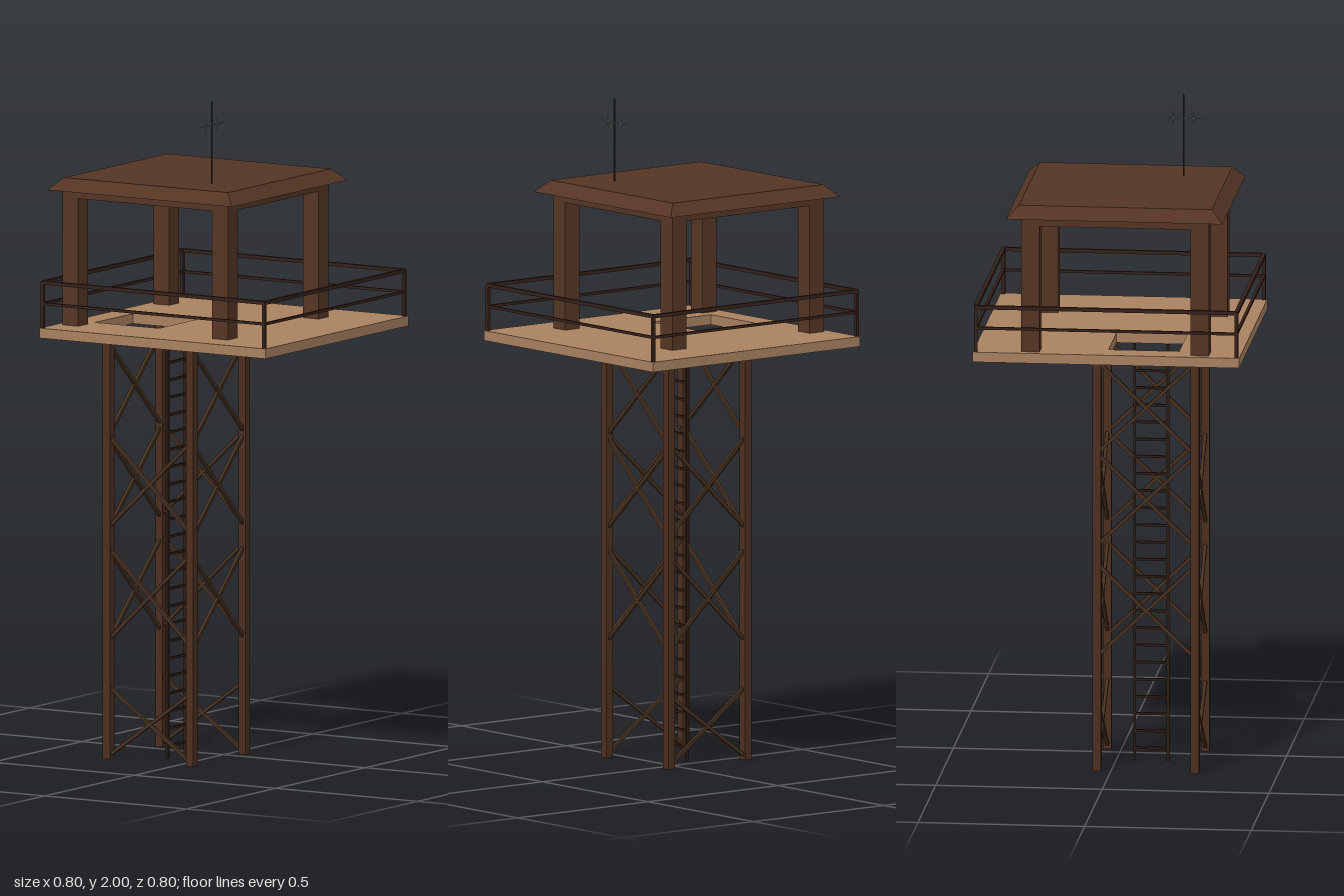
import * as THREE from 'three';

const mat = (name, color) => {
  const m = new THREE.MeshStandardMaterial({ color });
  m.name = name;
  return m;
};

export function createModel() {
  const root = new THREE.Group();
  root.name = 'watchtower';
  const timber = mat('brown timber', 0x553524);
  const legWood = mat('leg wood', 0x4c2f1f);
  const braceWood = mat('brace wood', 0x46301f);
  const plank = mat('tan planks', 0xa88160);
  const railWood = mat('dark rail wood', 0x36211a);
  const ladderWood = mat('dark ladder wood', 0x2e1c12);
  const mastMetal = mat('mast metal', 0x2c2a28);
  const aerialMetal = mat('aerial metal', 0x7c8080);

  const group = (name) => {
    const g = new THREE.Group();
    g.name = name;
    root.add(g);
    return g;
  };
  const box = (parent, name, m, w, h, d, x, y, z) => {
    const mesh = new THREE.Mesh(new THREE.BoxGeometry(w, h, d), m);
    mesh.name = name;
    mesh.position.set(x, y, z);
    parent.add(mesh);
    return mesh;
  };
  // square bar running between two points
  const bar = (parent, name, m, a, b, t) => {
    const p = new THREE.Vector3(...a), q = new THREE.Vector3(...b);
    const mesh = box(parent, name, m, t, t, p.distanceTo(q), 0, 0, 0);
    mesh.position.copy(p).add(q).multiplyScalar(0.5);
    mesh.lookAt(q);
    parent.add(mesh);
  };

  // four legs around the ladder axis
  const cx = -0.1, cz = 0.105, r = 0.147, deckBottom = 1.275, deckTop = 1.305;
  const legs = group('legs');
  for (const sx of [-1, 1]) for (const sz of [-1, 1])
    box(legs, 'leg', legWood, 0.025, deckBottom, 0.025, cx + sx * r, deckBottom / 2, cz + sz * r);

  // crossed braces, staggered between neighbouring faces
  const braces = group('braces');
  for (const s of [-1, 1]) {
    for (const [lo, hi] of [[0.008, 0.22], [0.358, 0.64], [0.698, 0.978]])
      for (const d of [-1, 1])
        bar(braces, 'brace', braceWood, [cx - d * r, lo, cz + s * r], [cx + d * r, hi, cz + s * r], 0.01);
    for (const [lo, hi] of [[0.35, 0.632], [0.69, 0.97], [0.972, 1.253]])
      for (const d of [-1, 1])
        bar(braces, 'brace', braceWood, [cx + s * r, lo, cz - d * r], [cx + s * r, hi, cz + d * r], 0.01);
  }

  // ladder up to the hatch
  const ladder = group('ladder');
  for (const s of [-1, 1])
    box(ladder, 'ladderRail', ladderWood, 0.008, deckBottom, 0.008, cx, deckBottom / 2, cz + s * 0.05);
  for (let i = 0; i < 24; i++)
    box(ladder, 'rung', ladderWood, 0.007, 0.007, 0.1, cx, 0.038 + i * 0.0525, cz);

  // deck with a hatch opening
  const rect = (P, x0, x1, z0, z1) => {
    const p = new P();
    p.moveTo(x0, -z1).lineTo(x1, -z1).lineTo(x1, -z0).lineTo(x0, -z0).closePath();
    return p;
  };
  const deckShape = rect(THREE.Shape, -0.397, 0.4, -0.4, 0.4);
  deckShape.holes.push(rect(THREE.Path, -0.32, -0.095, 0, 0.212));
  const deckGeo = new THREE.ExtrudeGeometry(deckShape, { depth: deckTop - deckBottom, bevelEnabled: false });
  deckGeo.rotateX(-Math.PI / 2);
  const deck = new THREE.Mesh(deckGeo, plank);
  deck.name = 'deck';
  deck.position.y = deckBottom;
  root.add(deck);

  // railing around the deck
  const railing = group('railing');
  const e = 0.391;
  for (const s of [-1, 1]) {
    for (const t of [-1, 1])
      box(railing, 'railPost', railWood, 0.01, 0.14, 0.01, s * e, deckTop + 0.07, t * e);
    for (const [y, t] of [[1.442, 0.011], [1.378, 0.008]]) {
      box(railing, 'rail', railWood, 2 * e, t, t, 0, y, s * e);
      box(railing, 'rail', railWood, t, t, 2 * e, s * e, y, 0);
    }
  }

  // cabin posts and the beams that tie them together
  const rx = -0.083, rz = 0.025, hx = 0.264, hz = 0.254, pw = 0.055;
  const cabin = group('cabinFrame');
  for (const s of [-1, 1]) {
    for (const t of [-1, 1])
      box(cabin, 'post', timber, pw, 1.69 - deckTop, pw, rx + s * hx, (1.69 + deckTop) / 2, rz + t * hz);
    box(cabin, 'beam', timber, 2 * hx + pw, 0.026, pw, rx, 1.703, rz + s * hz);
    box(cabin, 'beam', timber, pw, 0.026, 2 * hz - pw, rx + s * hx, 1.703, rz);
  }

  // roof slab with sloping edges
  const roofGeo = new THREE.CylinderGeometry(0.289 * Math.SQRT2, 0.325 * Math.SQRT2, 0.036, 4, 1).toNonIndexed();
  roofGeo.rotateY(Math.PI / 4);
  roofGeo.computeVertexNormals();
  const roof = new THREE.Mesh(roofGeo, timber);
  roof.name = 'roof';
  roof.position.set(-0.076, 1.733, rz);
  root.add(roof);

  // radio aerial
  const aerial = group('aerial');
  const ax = 0.074, az = 0.183;
  box(aerial, 'mast', mastMetal, 0.004, 0.25, 0.004, ax, 1.875, az);
  box(aerial, 'crossbar', aerialMetal, 0.003, 0.003, 0.124, ax, 1.928, az);
  for (const s of [-1, 1])
    box(aerial, 'aerialPin', aerialMetal, 0.003, 0.04, 0.003, ax, 1.928, az + s * 0.03);

  return root;
}
